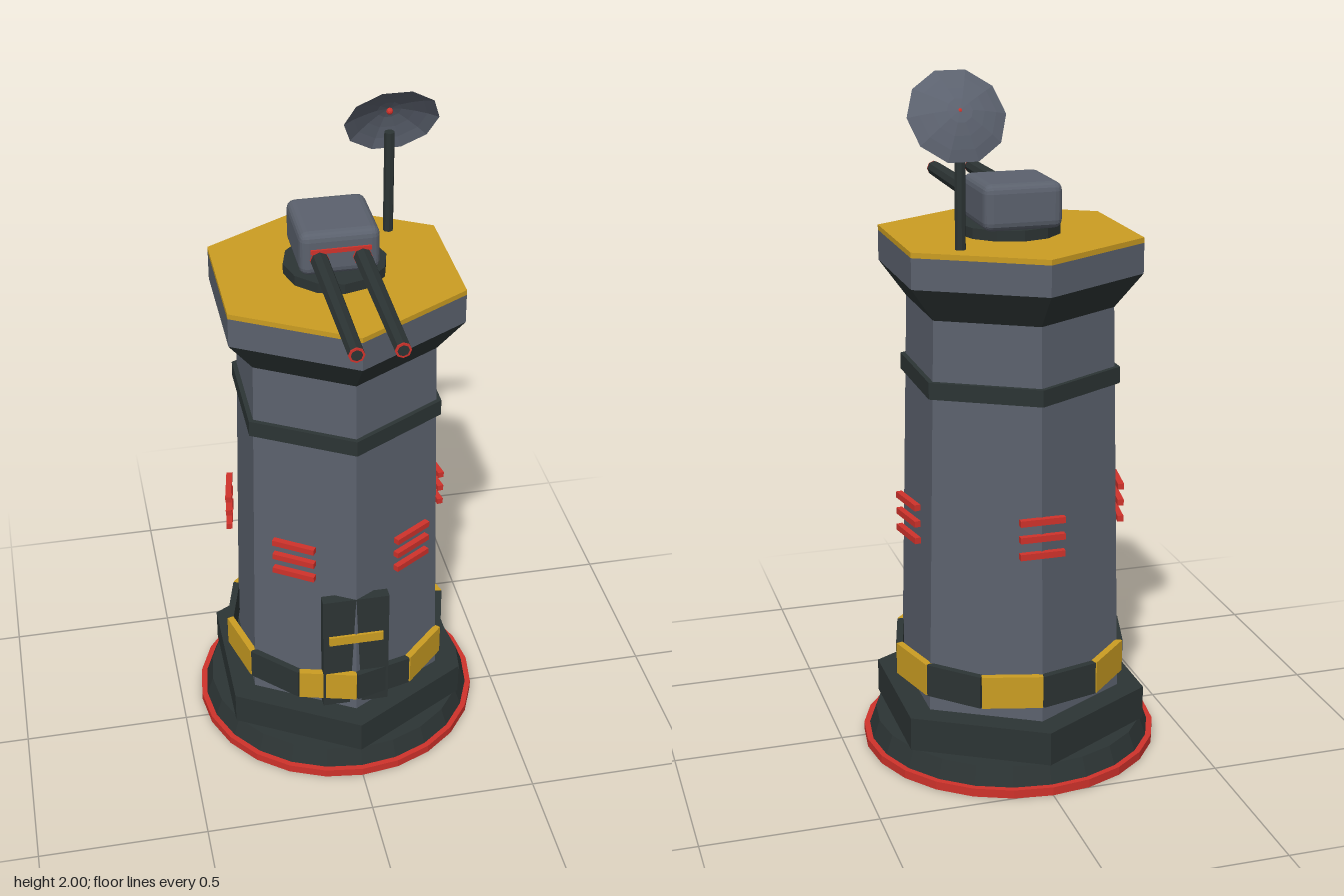
import * as THREE from 'three';
import { RoundedBoxGeometry } from 'three/addons/geometries/RoundedBoxGeometry.js';

const paint = (name, color) => {
  const m = new THREE.MeshStandardMaterial({ color, flatShading: true });
  m.name = name;
  return m;
};

export function createModel() {
  const grey = paint('steel grey', 0x5b616d);
  const dark = paint('dark metal', 0x2c3434);
  const yellow = paint('hazard yellow', 0xcb9d22);
  const red = paint('signal red', 0xcf322b);
  const dishGrey = paint('dish grey', 0x5b616e);
  dishGrey.side = THREE.DoubleSide;

  const model = new THREE.Group();
  model.name = 'gunTower';
  const tower = new THREE.Group();
  tower.name = 'tower';
  tower.position.z = -0.077;
  model.add(tower);

  const add = (parent, name, geometry, material, x = 0, y = 0, z = 0) => {
    const mesh = new THREE.Mesh(geometry, material);
    mesh.name = name;
    mesh.position.set(x, y, z);
    parent.add(mesh);
    return mesh;
  };
  // Upright prism between two heights
  const prism = (name, y0, y1, r0, r1, sides, material) =>
    add(tower, name, new THREE.CylinderGeometry(r1, r0, y1 - y0, sides), material, 0, (y0 + y1) / 2, 0);
  const box = (w, h, d) => new THREE.BoxGeometry(w, h, d);

  // Base and hexagonal shaft
  prism('baseRim', 0, 0.025, 0.437, 0.437, 24, red);
  prism('baseSkirt', 0.025, 0.08, 0.42, 0.4, 24, dark);
  prism('plinth', 0.08, 0.18, 0.41, 0.41, 6, dark);
  prism('shaft', 0.18, 1.34, 0.332, 0.302, 6, grey);
  prism('collar', 1.115, 1.163, 0.322, 0.322, 6, dark);
  prism('flare', 1.335, 1.435, 0.302, 0.383, 6, dark);
  prism('parapet', 1.435, 1.522, 0.383, 0.383, 6, grey);
  prism('deck', 1.522, 1.537, 0.383, 0.383, 6, yellow);

  // Hazard band of twelve alternating plates
  for (let i = 0; i < 12; i++) {
    const a = THREE.MathUtils.degToRad(15 + 30 * i);
    const plate = add(tower, 'hazardPlate', box(0.174, 0.096, 0.02), i % 2 ? yellow : dark,
      Math.sin(a) * 0.324, 0.277, Math.cos(a) * 0.324);
    plate.rotation.y = a;
  }

  // Vent bars in five stacks around the shaft
  for (const deg of [33, 100, 180, 260, 327]) {
    const a = THREE.MathUtils.degToRad(deg);
    for (const y of [0.687, 0.737, 0.786]) {
      const bar = add(tower, 'ventBar', box(0.13, 0.018, 0.018), red,
        Math.sin(a) * 0.321, y, Math.cos(a) * 0.321);
      bar.rotation.y = a;
    }
  }

  // Door, cut by the front edge of the shaft
  add(model, 'door', box(0.2, 0.4, 0.034), dark, 0, 0.4, 0.227);
  add(model, 'doorBar', box(0.164, 0.03, 0.012), yellow, 0, 0.455, 0.246);

  // Turret
  prism('turretRing', 1.537, 1.567, 0.147, 0.147, 12, dark);
  add(model, 'turretHead', new RoundedBoxGeometry(0.226, 0.13, 0.236, 2, 0.025), grey, 0, 1.63, -0.106);
  add(model, 'turretStripe', box(0.17, 0.012, 0.008), red, 0, 1.644, 0.014);
  for (const side of [-1, 1]) {
    const gun = new THREE.Group();
    gun.name = side > 0 ? 'leftGun' : 'rightGun';
    gun.position.set(side * 0.06, 1.618, 0);
    model.add(gun);
    const barrel = add(gun, 'barrel', new THREE.CylinderGeometry(0.022, 0.026, 0.51, 8), dark, 0, 0, 0.255);
    const muzzle = add(gun, 'muzzle', new THREE.CylinderGeometry(0.022, 0.022, 0.005, 8), red, 0, 0, 0.5115);
    barrel.rotation.x = muzzle.rotation.x = Math.PI / 2;
    add(gun, 'bore', new THREE.CircleGeometry(0.016, 8), dark, 0, 0, 0.5148);
    // Red sleeve where the barrel leaves the turret
    const sleeve = add(gun, 'sleeve', new THREE.CylinderGeometry(0.027, 0.027, 0.006, 8), red, 0, 0, 0.014);
    sleeve.rotation.x = Math.PI / 2;
  }

  // Antenna mast and shallow dish, domed towards the back
  add(model, 'mast', new THREE.CylinderGeometry(0.015, 0.015, 0.31, 8), dark, 0.195, 1.69, -0.27);
  const dish = new THREE.Group();
  dish.name = 'dish';
  dish.position.set(0.195, 1.89, -0.243);
  dish.rotation.x = -Math.PI / 3;
  model.add(dish);
  const profile = [[0.136, 0], [0.105, 0.015], [0.07, 0.028], [0.035, 0.038], [0, 0.042]]
    .map(([r, h]) => new THREE.Vector2(r, h));
  const shell = add(dish, 'dishShell', new THREE.LatheGeometry(profile, 10), dishGrey);
  shell.rotation.y = Math.PI / 2;
  add(dish, 'dishFeed', new THREE.SphereGeometry(0.01, 8, 6), red, 0, 0.033, 0);

  return model;
}
